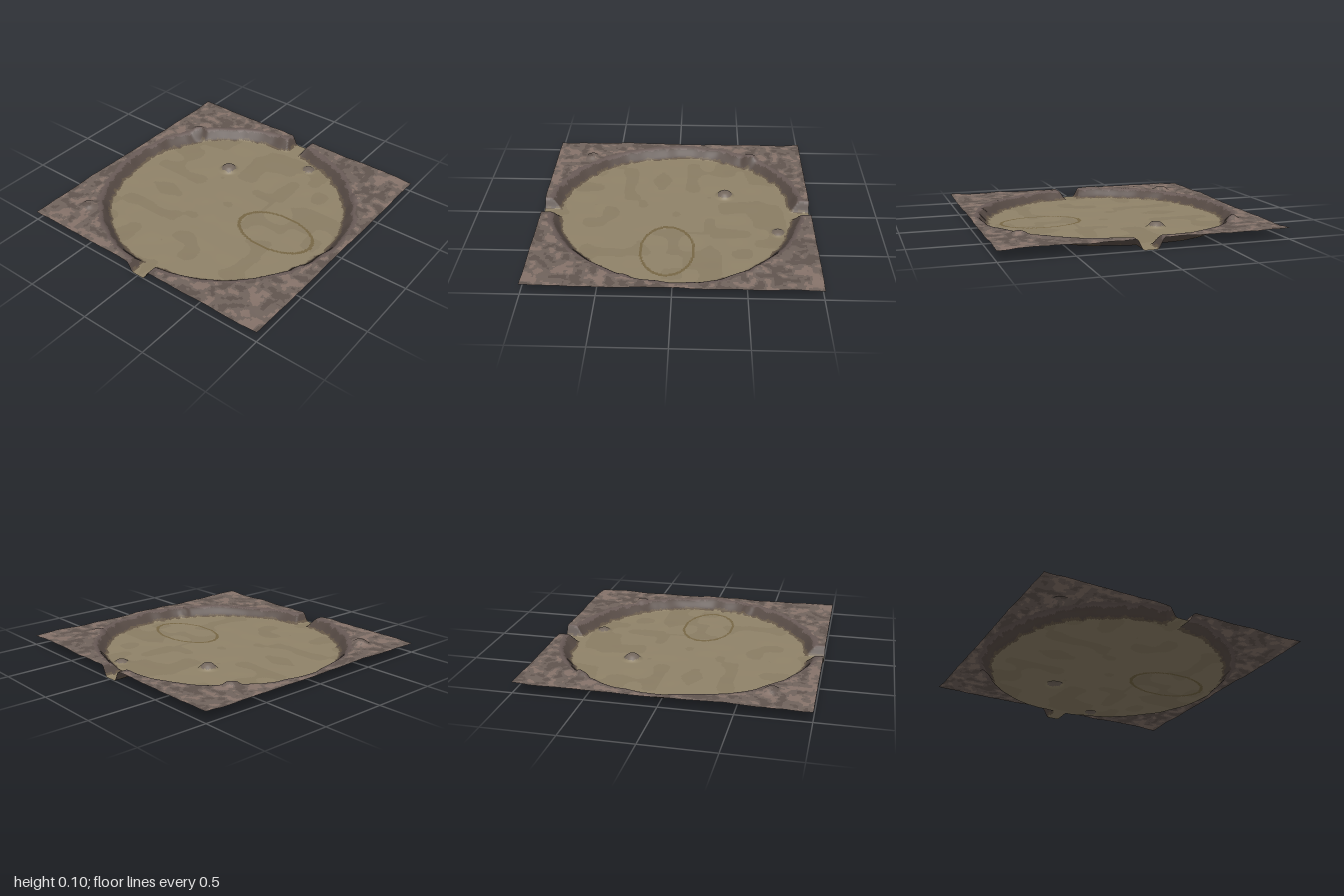
import * as THREE from 'three';

const N = 220; // grid cells per side
const smooth = THREE.MathUtils.smoothstep;

// Seeded value noise, range 0..1
function hash(i, j) {
  const s = Math.sin(i * 127.1 + j * 311.7 + 17.3) * 43758.5453;
  return s - Math.floor(s);
}
function noise(x, z) {
  const i = Math.floor(x), j = Math.floor(z);
  const u = smooth(x - i, 0, 1), v = smooth(z - j, 0, 1);
  const mix = THREE.MathUtils.lerp;
  return mix(mix(hash(i, j), hash(i + 1, j), u), mix(hash(i, j + 1), hash(i + 1, j + 1), u), v);
}

// Boulders: x, z, radius, height
const boulders = [
  [-0.76, -0.58, 0.075, 0.026], [-0.75, 0.71, 0.075, 0.028],
  [0.77, -0.58, 0.07, 0.016], [0.83, 0.31, 0.06, 0.012],
  [-0.28, -0.37, 0.08, 0.04], [0.23, -0.75, 0.065, 0.022],
];

// 0 on the arena floor, 1 on the plateau, in between on the bank
function bank(x, z) {
  const r = Math.hypot(x, z), a = Math.atan2(z, x);
  const edge = 0.855 + 0.012 * Math.sin(3 * a + 2.2) - 0.012 * Math.cos(a)
    + 0.02 * (noise(x * 9 + 40, z * 9) - 0.5);
  const wall = (r - edge) / 0.095;
  const gate = (Math.abs(x) - 0.045) / 0.055;
  return Math.min(wall, gate);
}

function height(x, z) {
  const t = smooth(bank(x, z), 0, 1);
  const top = 0.066 + 0.012 * noise(x * 5 + 11, z * 5 + 3) + 0.004 * noise(x * 16, z * 16);
  let y = t * top + (1 - t) * 0.003 * noise(x * 7, z * 7);
  for (const [bx, bz, r, h] of boulders) {
    const d = Math.hypot(x - bx, z - bz) / r;
    y += h * (1 - smooth(d, 0.3, 1));
  }
  return y;
}

const colors = {
  floor: 0x908369, floorPatches: 0x8a7d64, ringMarking: 0x776746,
  bankFoot: 0x665848, bankFace: 0x574b45, bankCrest: 0x695b57,
  plateau: 0x71645d, plateauDark: 0x61554f, plateauLight: 0x86736a,
  floorBoulders: 0x74685e,
};

// Which surface part a spot belongs to
function region(x, z) {
  const b = bank(x, z) + 0.25 * (noise(x * 30, z * 30) - 0.5);
  if (b < 0.08) {
    for (const [bx, bz, r] of boulders) {
      if (Math.hypot(x - bx, z - bz) < r * 0.7) return 'floorBoulders';
    }
    const e = Math.hypot((x - 0.47) / 0.295, (z - 0.05) / 0.19);
    if (Math.abs(e - 1) < 0.045) return 'ringMarking';
    return noise(x * 8 + 5, z * 8) > 0.58 ? 'floorPatches' : 'floor';
  }
  if (b < 0.25) return 'bankFoot';
  if (b < 0.75) return 'bankFace';
  if (b < 1.1) return 'bankCrest';
  const n = 0.65 * noise(x * 19 + 7, z * 19) + 0.35 * noise(x * 42, z * 42);
  return n > 0.62 ? 'plateauLight' : n < 0.4 ? 'plateauDark' : 'plateau';
}

export function createModel() {
  const group = new THREE.Group();
  group.name = 'arenaGround';

  // One continuous sheet shaped by the height rule
  const sheet = new THREE.PlaneGeometry(2, 2, N, N).rotateX(-Math.PI / 2);
  const pos = sheet.attributes.position;
  let low = Infinity;
  for (let i = 0; i < pos.count; i++) {
    const y = height(pos.getX(i), pos.getZ(i));
    pos.setY(i, y);
    low = Math.min(low, y);
  }
  sheet.translate(0, -low, 0);
  sheet.computeVertexNormals();

  // Split the cells into coloured parts that share smooth normals
  const faces = {};
  for (const name of Object.keys(colors)) faces[name] = [];
  const index = sheet.index.array;
  for (let i = 0; i < index.length; i += 6) {
    const cell = i / 6;
    const x = ((cell % N) + 0.5) * 2 / N - 1;
    const z = (Math.floor(cell / N) + 0.5) * 2 / N - 1;
    faces[region(x, z)].push(...index.subarray(i, i + 6));
  }
  for (const [name, list] of Object.entries(faces)) {
    const part = new THREE.BufferGeometry();
    part.setAttribute('position', sheet.attributes.position);
    part.setAttribute('normal', sheet.attributes.normal);
    part.setIndex(list);
    const mesh = new THREE.Mesh(part, new THREE.MeshStandardMaterial({
      color: colors[name], side: THREE.DoubleSide,
    }));
    mesh.name = name;
    group.add(mesh);
  }
  return group;
}
